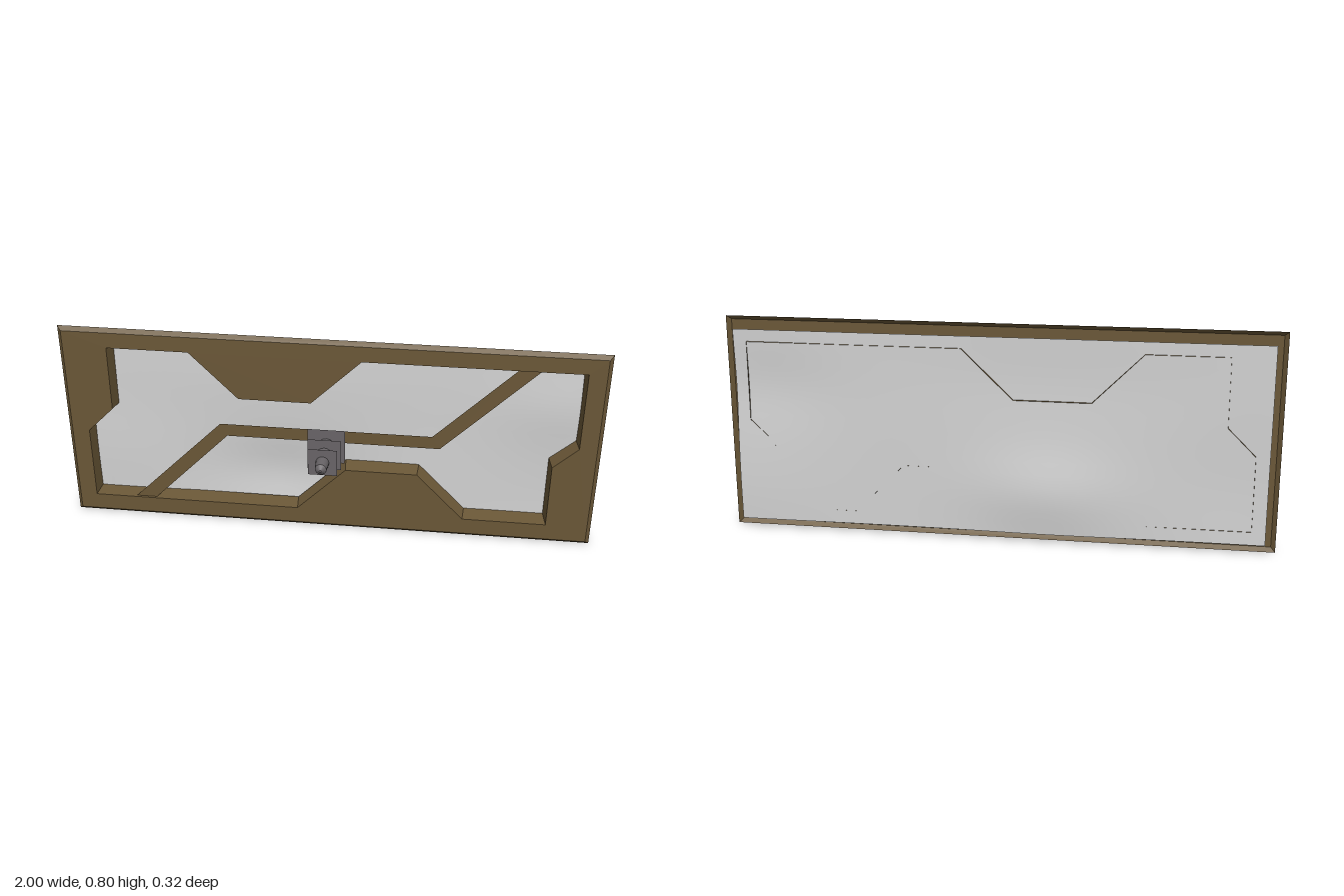
import * as THREE from 'three';

const FRONT = -0.075, REAR = -0.09, DEEP = -0.138;

// Outline of the opening, clockwise from the upper left corner
const OPENING = [
  [-0.82, 0.725], [-0.515, 0.725], [-0.335, 0.545], [-0.065, 0.545], [0.12, 0.725], [0.92, 0.725],
  [0.92, 0.42], [0.83, 0.335], [0.83, 0.08], [0.515, 0.08], [0.335, 0.265], [0.065, 0.265],
  [-0.12, 0.08], [-0.92, 0.08], [-0.92, 0.37], [-0.82, 0.47],
].map(([x, y]) => new THREE.Vector2(x, y));

// Clockwise rectangle inset from the full 2 x 0.8 panel
const rect = (d) => [[-1 + d, 0.8 - d], [1 - d, 0.8 - d], [1 - d, d], [-1 + d, d]]
  .map(([x, y]) => new THREE.Vector2(x, y));

// Moves every edge of a clockwise outline inwards by d, with mitred corners
function inset(pts, d) {
  const n = pts.length;
  const normal = (a, b) => new THREE.Vector2(b.y - a.y, a.x - b.x).normalize();
  return pts.map((p, i) => {
    const n1 = normal(pts[(i + n - 1) % n], p), n2 = normal(p, pts[(i + 1) % n]);
    return n1.clone().add(n2).multiplyScalar(d / (1 + n1.dot(n2))).add(p);
  });
}

// Flat-faced band joining a near outline to a far outline
function band(near, zNear, far, zFar) {
  const pos = [];
  near.forEach((a, i) => {
    const j = (i + 1) % near.length, b = near[j], c = far[j], d = far[i];
    pos.push(a.x, a.y, zNear, b.x, b.y, zNear, c.x, c.y, zFar);
    pos.push(a.x, a.y, zNear, c.x, c.y, zFar, d.x, d.y, zFar);
  });
  const g = new THREE.BufferGeometry();
  g.setAttribute('position', new THREE.Float32BufferAttribute(pos, 3));
  g.computeVertexNormals();
  return g;
}

// Gently dented sheet behind the opening
function sheetGeometry() {
  const g = new THREE.PlaneGeometry(1.92, 0.72, 40, 16);
  const p = g.attributes.position;
  const bump = (x, y, cx, cy, rx, ry) => Math.exp(-(((x - cx) / rx) ** 2) - ((y - cy) / ry) ** 2);
  for (let i = 0; i < p.count; i++) {
    const x = p.getX(i), y = p.getY(i) + 0.4;
    const z = -0.136
      - 0.024 * bump(x, y, -0.18, 0.19, 0.26, 0.14)
      - 0.008 * bump(x, y, 0.95, 0.15, 0.3, 0.2)
      + 0.012 * bump(x, y, 0.85, 0.55, 0.25, 0.14)
      + 0.006 * bump(x, y, -0.2, 0.6, 0.5, 0.15)
      + 0.006 * bump(x, y, -0.85, 0.25, 0.25, 0.2);
    p.setXYZ(i, x, y, z);
  }
  g.computeVertexNormals();
  return g;
}

export function createModel() {
  const model = new THREE.Group();
  const side = THREE.DoubleSide;
  const bronze = new THREE.MeshStandardMaterial({ color: 0x6a5737, side });
  const silver = new THREE.MeshStandardMaterial({ color: 0xd2d2d2, side });
  const steel = new THREE.MeshStandardMaterial({ color: 0x686467, side });
  bronze.name = 'bronze';
  silver.name = 'silver';
  steel.name = 'steel';

  const add = (name, geometry, material, parent = model) => {
    const mesh = new THREE.Mesh(geometry, material);
    mesh.name = name;
    parent.add(mesh);
    return mesh;
  };

  // Frame: front face with its opening, bevelled rim and tapering inner wall
  const frame = new THREE.Group();
  frame.name = 'frame';
  model.add(frame);
  const face = new THREE.Shape(rect(0.015));
  face.holes.push(new THREE.Path(OPENING));
  add('frameFace', new THREE.ShapeGeometry(face), bronze, frame).position.z = FRONT;
  add('frameBevel', band(rect(0.015), FRONT, rect(0), REAR), bronze, frame);
  add('openingWall', band(OPENING, FRONT, inset(OPENING, 0.01), DEEP), bronze, frame);

  // Flat cranked strip across the opening
  const strip = new THREE.Shape([
    [-0.76, 0.08], [-0.41, 0.43], [0.385, 0.43], [0.68, 0.725],
    [0.76, 0.725], [0.415, 0.38], [-0.385, 0.38], [-0.68, 0.08],
  ].map(([x, y]) => new THREE.Vector2(x, y)));
  add('crossStrip', new THREE.ShapeGeometry(strip), bronze).position.z = -0.083;

  add('backSheet', sheetGeometry(), silver);

  // Central spike pointing forwards, with three square plates along it
  const spike = new THREE.Group();
  spike.name = 'spike';
  spike.position.y = 0.402;
  model.add(spike);
  const profile = [[0, -0.07], [0.027, -0.07], [0.027, -0.064], [0.036, -0.064], [0.021, 0.147], [0.004, 0.16], [0, 0.16]];
  // Separate bands keep the edges between them sharp
  for (let i = 0; i < profile.length - 1; i++) {
    const pts = profile.slice(i, i + 2).map(([r, z]) => new THREE.Vector2(r, z));
    add('spikeBand', new THREE.LatheGeometry(pts, 16).rotateX(Math.PI / 2), steel, spike);
  }
  for (const [size, z] of [[0.138, -0.015], [0.122, 0.045], [0.106, 0.1]]) {
    add('squarePlate', new THREE.PlaneGeometry(size, size), steel, spike).position.z = z;
  }
  return model;
}
